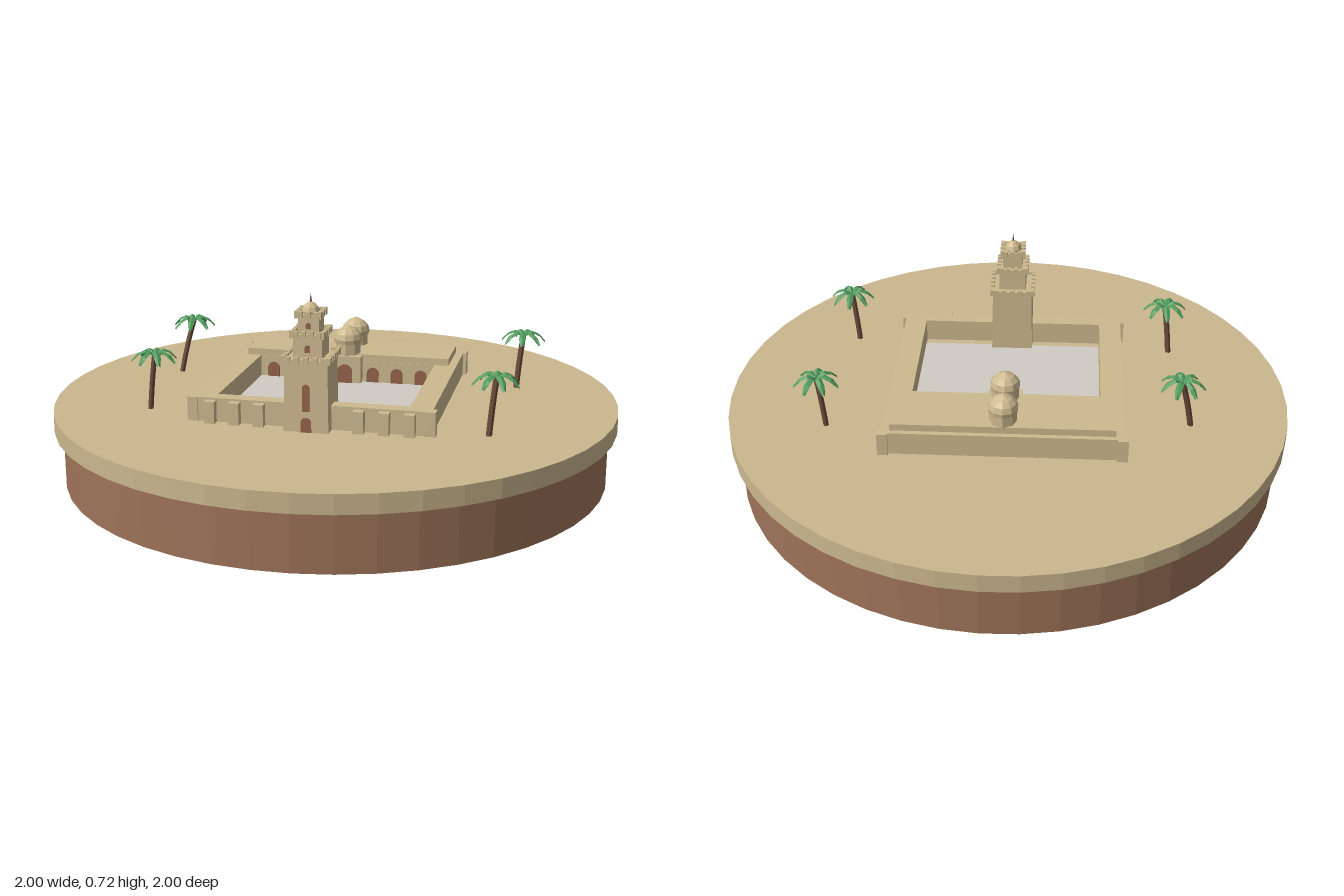
import * as THREE from 'three';

const mat = (name, color, extra = {}) => {
  const m = new THREE.MeshStandardMaterial({ color, flatShading: true, ...extra });
  m.name = name;
  return m;
};

export function createModel() {
  const sand = mat('sand', 0xcbb78e);
  const stone = mat('sandstone', 0xcdb98f);
  const earth = mat('earth', 0x9e7359);
  const paving = mat('paving', 0xd0ccc4);
  const wood = mat('wood', 0x95644a);
  const bark = mat('bark', 0x6f4d3b);
  const leaf = mat('leaf', 0x4f9a5c, { side: THREE.DoubleSide });

  const model = new THREE.Group();
  model.name = 'walledCourtyardOnDisc';
  const GROUND = 0.265;

  const add = (parent, name, geo, material, x = 0, y = 0, z = 0) => {
    const m = new THREE.Mesh(geo, material);
    m.name = name;
    m.position.set(x, y, z);
    parent.add(m);
    return m;
  };
  // Box given by its extents
  const box = (parent, name, material, x0, x1, y0, y1, z0, z1) =>
    add(parent, name, new THREE.BoxGeometry(x1 - x0, y1 - y0, z1 - z0), material,
      (x0 + x1) / 2, (y0 + y1) / 2, (z0 + z1) / 2);
  // Thin arched plate facing +z, standing on y
  const arch = (parent, name, w, h, x, y, z) => {
    const s = new THREE.Shape();
    s.moveTo(-w / 2, 0);
    s.lineTo(w / 2, 0);
    s.lineTo(w / 2, h - w / 2);
    s.absarc(0, h - w / 2, w / 2, 0, Math.PI, false);
    s.closePath();
    const geo = new THREE.ExtrudeGeometry(s, { depth: 0.006, bevelEnabled: false, curveSegments: 6 });
    return add(parent, name, geo, wood, x, y, z - 0.002);
  };
  const lathe = (points, sides) =>
    new THREE.LatheGeometry(points.map(p => new THREE.Vector2(...p)), sides);

  // Round base
  add(model, 'earthBase', new THREE.CylinderGeometry(0.97, 0.97, 0.2, 48), earth, 0, 0.1, 0);
  add(model, 'sandTop', new THREE.CylinderGeometry(1, 1, 0.065, 48), sand, 0, 0.2325, 0);

  // Building, turned on the disc
  const building = new THREE.Group();
  building.name = 'building';
  building.rotation.y = -THREE.MathUtils.degToRad(20);
  model.add(building);

  const TOP = 0.348;
  box(building, 'courtyardFloor', paving, -0.33, 0.33, GROUND, 0.27, -0.175, 0.316);
  box(building, 'frontWall', stone, -0.41, 0.41, GROUND, TOP, 0.35, 0.4);
  box(building, 'prayerHall', stone, -0.41, 0.41, GROUND, TOP, -0.4, -0.175);
  box(building, 'hallRoof', stone, -0.381, 0.381, TOP, 0.373, -0.382, -0.178);
  box(building, 'hallPortal', stone, -0.06, 0.06, GROUND, 0.37, -0.178, -0.145);
  arch(building, 'portalDoor', 0.055, 0.075, 0, GROUND, -0.145);

  for (const s of [-1, 1]) {
    box(building, 'sideGallery', stone, s * 0.37 - 0.04, s * 0.37 + 0.04, GROUND, TOP, -0.175, 0.35);
    for (const z of [-0.39, 0.385])
      box(building, 'cornerPier', stone, s * 0.405 - 0.018, s * 0.405 + 0.018, GROUND, TOP, z - 0.02, z + 0.02);
    for (const x of [0.17, 0.255, 0.34])
      box(building, 'buttress', stone, s * x - 0.018, s * x + 0.018, GROUND, 0.341, 0.395, 0.428);
    for (const x of [0.1, 0.19, 0.28])
      arch(building, 'hallArch', 0.045, 0.06, s * x, GROUND, -0.175);
  }

  // Two domes on drums
  for (const z of [-0.337, -0.2]) {
    add(building, 'domeDrum', new THREE.CylinderGeometry(0.047, 0.047, 0.06, 8), stone, 0, 0.395, z);
    add(building, 'dome', lathe([[0, 0], [0.05, 0], [0.053, 0.015], [0.047, 0.035],
      [0.031, 0.051], [0.013, 0.06], [0, 0.066]], 10), stone, 0, 0.412, z);
  }

  // Minaret: three tapering storeys, each with a parapet of merlons
  const tower = new THREE.Group();
  tower.name = 'minaret';
  tower.position.set(0, 0, 0.37);
  building.add(tower);
  const storeys = [
    { y0: GROUND, y1: 0.502, w: 0.152, top: 0.144, n: 5 },
    { y0: 0.502, y1: 0.582, w: 0.1, top: 0.096, n: 4 },
    { y0: 0.582, y1: 0.645, w: 0.072, top: 0.07, n: 3 },
  ];
  for (const { y0, y1, w, top, n } of storeys) {
    const body = new THREE.CylinderGeometry(top * Math.SQRT1_2, w * Math.SQRT1_2, y1 - y0, 4);
    body.rotateY(Math.PI / 4);
    add(tower, 'storey', body, stone, 0, (y0 + y1) / 2, 0);
    const c = top / 2 + 0.004;
    box(tower, 'cornice', stone, -c, c, y1 - 0.004, y1 + 0.008, -c, c);
    const step = 2 * c / n;
    for (let side = 0; side < 4; side++) {
      const row = new THREE.Group();
      row.name = 'merlonRow';
      row.rotation.y = side * Math.PI / 2;
      tower.add(row);
      for (let i = 0; i <= n; i++) {
        if (i === n) continue;
        add(row, 'merlon', new THREE.BoxGeometry(step * 0.62, 0.02, 0.014), stone,
          -c + step * (i + 0.5), y1 + 0.008, c);
      }
      add(row, 'cornerMerlon', new THREE.BoxGeometry(0.013, 0.024, 0.013), stone, c, y1 + 0.008, c);
    }
  }
  // Minaret openings
  arch(tower, 'towerDoor', 0.036, 0.05, 0, GROUND, 0.076);
  arch(tower, 'tallWindow', 0.024, 0.092, 0, 0.336, 0.0745).rotation.x = -0.017;
  arch(tower, 'middleWindow', 0.018, 0.024, 0, 0.53, 0.05);
  arch(tower, 'upperWindow', 0.015, 0.02, 0, 0.606, 0.036);
  // Cap and finial
  add(tower, 'cap', lathe([[0.03, 0], [0.032, 0.01], [0.026, 0.024], [0.012, 0.036], [0, 0.042]], 8),
    stone, 0, 0.65, 0);
  add(tower, 'finial', new THREE.ConeGeometry(0.005, 0.034, 6), bark, 0, 0.7, 0);

  // Folded, arching palm leaf from cross-sections of left edge, ridge, right edge
  const rows = [[0, 0, 0.006], [0.03, 0.017, 0.012], [0.057, 0.005, 0.012], [0.08, -0.02, 0.005]];
  const pos = [], idx = [];
  rows.forEach(([r, y, half], i) => {
    pos.push(r, y - 0.007, half, r, y, 0, r, y - 0.007, -half);
    if (i) for (let k = 0; k < 2; k++) {
      const a = (i - 1) * 3 + k, b = a + 3;
      idx.push(a, b, a + 1, b, b + 1, a + 1);
    }
  });
  const leafGeo = new THREE.BufferGeometry();
  leafGeo.setAttribute('position', new THREE.Float32BufferAttribute(pos, 3));
  leafGeo.setIndex(idx);
  leafGeo.computeVertexNormals();

  // Palms: crown x, crown z, lean x, lean z
  const palms = [[-0.497, -0.404, 0.05, -0.015], [-0.642, 0.094, 0.02, 0.01],
    [0.69, -0.013, 0.02, 0], [0.455, 0.532, 0.018, 0.005]];
  palms.forEach(([x, z, lx, lz], p) => {
    const palm = new THREE.Group();
    palm.name = 'palm';
    palm.position.set(x, 0, z);
    model.add(palm);
    const path = new THREE.QuadraticBezierCurve3(new THREE.Vector3(-lx, GROUND - 0.003, -lz),
      new THREE.Vector3(-lx * 0.6, 0.37, -lz * 0.6), new THREE.Vector3(0, 0.46, 0));
    add(palm, 'trunk', new THREE.TubeGeometry(path, 5, 0.0105, 6), bark);
    for (let i = 0; i < 7; i++)
      add(palm, 'frond', leafGeo, leaf, 0, 0.462, 0).rotation.y = p * 0.4 + i * Math.PI * 2 / 7;
  });

  return model;
}
